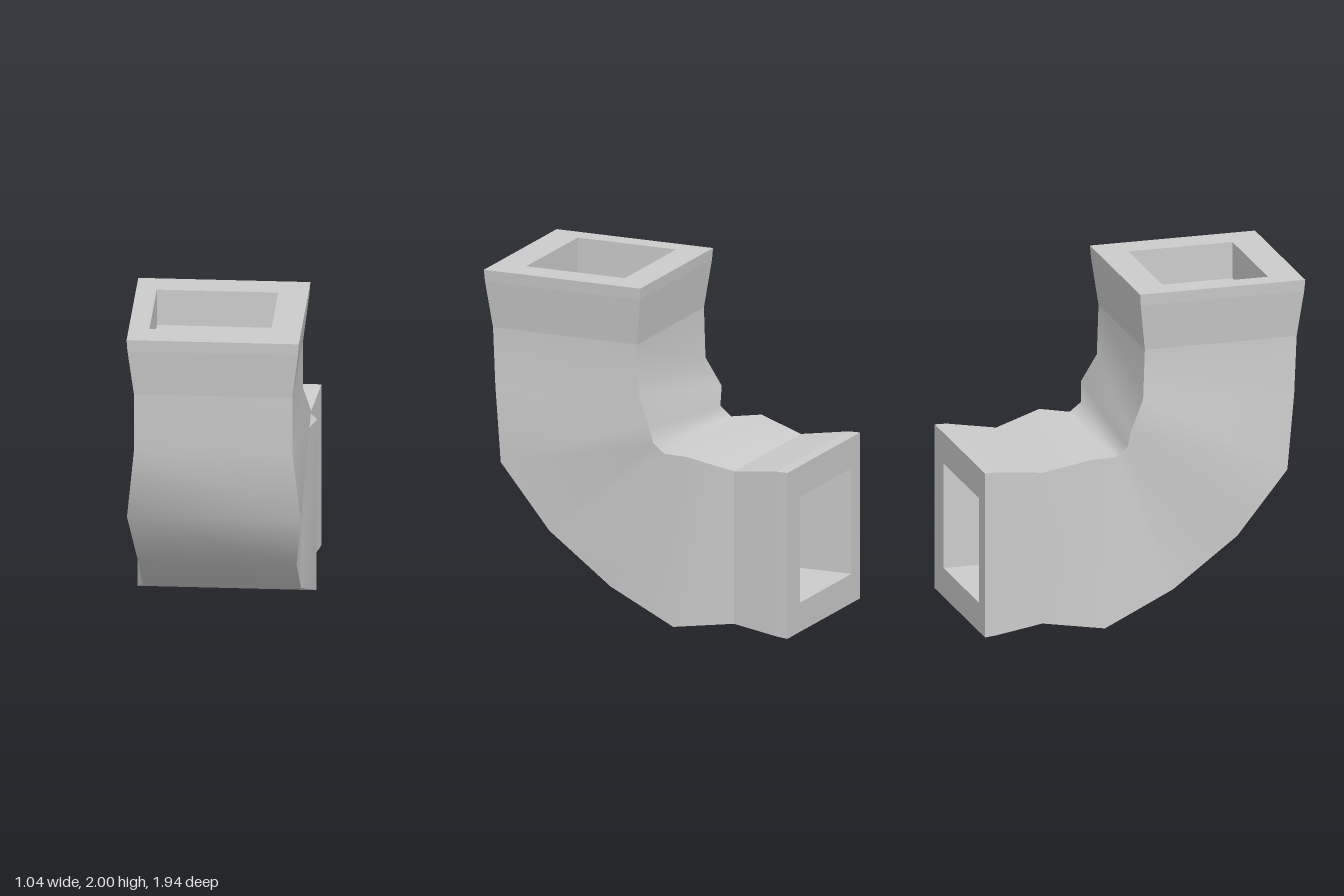
import * as THREE from 'three';

const grey = new THREE.MeshStandardMaterial({ color: 0xcccccc });

// Cross-sections along the bend: outer z, y, half width; inner z, y, half width
const SECTIONS = [
  [0.97, 2.0, 0.5, -0.03, 2.0, 0.5],
  [0.965, 1.93, 0.495, -0.025, 1.93, 0.495],
  [0.93, 1.65, 0.46, 0.01, 1.65, 0.46],
  [0.915, 1.3, 0.46, 0.0, 1.35, 0.46],
  [0.86, 0.86, 0.505, -0.085, 1.18, 0.5],
  [0.57, 0.47, 0.46, -0.095, 1.07, 0.46],
  [0.18, 0.18, 0.46, -0.165, 1.015, 0.46],
  [-0.25, 0.0, 0.52, -0.33, 1.03, 0.52],
  [-0.61, 0.045, 0.46, -0.61, 0.96, 0.46],
  [-0.9, 0.01, 0.495, -0.9, 1.0, 0.495],
  [-0.97, 0.005, 0.5, -0.97, 1.0, 0.5],
];

// Four corners of a section, in order around the duct
const corners = ([oz, oy, ow, iz, iy, iw]) => [
  [-ow, oy, oz], [ow, oy, oz], [iw, iy, iz], [-iw, iy, iz],
];

// Four walls lofted through sections from..to, smooth along the path, sharp at the corners
function duct(name, from, to) {
  const positions = [], index = [];
  for (let side = 0; side < 4; side++) {
    const base = positions.length / 3;
    for (let i = from; i <= to; i++) {
      const c = corners(SECTIONS[i]);
      positions.push(...c[side], ...c[(side + 1) % 4]);
      if (i === to) continue;
      const a = base + (i - from) * 2;
      index.push(a, a + 2, a + 3, a, a + 3, a + 1);
    }
  }
  const geometry = new THREE.BufferGeometry();
  geometry.setAttribute('position', new THREE.Float32BufferAttribute(positions, 3));
  geometry.setIndex(index);
  geometry.computeVertexNormals();
  const mesh = new THREE.Mesh(geometry, grey);
  mesh.name = name;
  return mesh;
}

const rectangle = (Type, x0, x1, y0, y1) => {
  const path = new Type();
  path.moveTo(x0, y0).lineTo(x1, y0).lineTo(x1, y1).lineTo(x0, y1).closePath();
  return path;
};

// Flat rim with a rectangular recess, facing local +z
function opening(name, y0, y1, hole, depth) {
  const group = new THREE.Group();
  group.name = name;
  const shape = rectangle(THREE.Shape, -0.5, 0.5, y0, y1);
  shape.holes.push(rectangle(THREE.Path, ...hole));
  const rim = new THREE.Mesh(new THREE.ShapeGeometry(shape), grey);
  rim.name = name + 'Rim';

  // Inside-out box with its front face left off
  const [hx0, hx1, hy0, hy1] = hole;
  const box = new THREE.BoxGeometry(hx1 - hx0, hy1 - hy0, depth);
  box.setIndex(Array.from(box.index.array).slice(0, 30));
  box.clearGroups();
  box.scale(1, 1, -1);
  box.computeVertexNormals();
  const recess = new THREE.Mesh(box, grey);
  recess.name = name + 'Recess';
  recess.position.set((hx0 + hx1) / 2, (hy0 + hy1) / 2, -depth / 2);
  group.add(rim, recess);
  return group;
}

export function createModel() {
  const model = new THREE.Group();
  model.name = 'ductElbow';

  // Flared collars at both ends with the smooth bend between
  model.add(
    duct('topLip', 0, 1),
    duct('topCollar', 1, 2),
    duct('bend', 2, 8),
    duct('backCollar', 8, 9),
    duct('backLip', 9, 10),
  );

  // Shallow recess in the top end
  const top = opening('topOpening', -0.97, 0.03, [-0.38, 0.325, -0.78, -0.15], 0.22);
  top.rotation.x = -Math.PI / 2;
  top.position.y = 2;

  // Deep recess in the back end
  const back = opening('backOpening', 0.005, 1, [-0.325, 0.38, 0.18, 0.815], 0.77);
  back.rotation.y = Math.PI;
  back.position.z = -0.97;

  model.add(top, back);
  return model;
}
